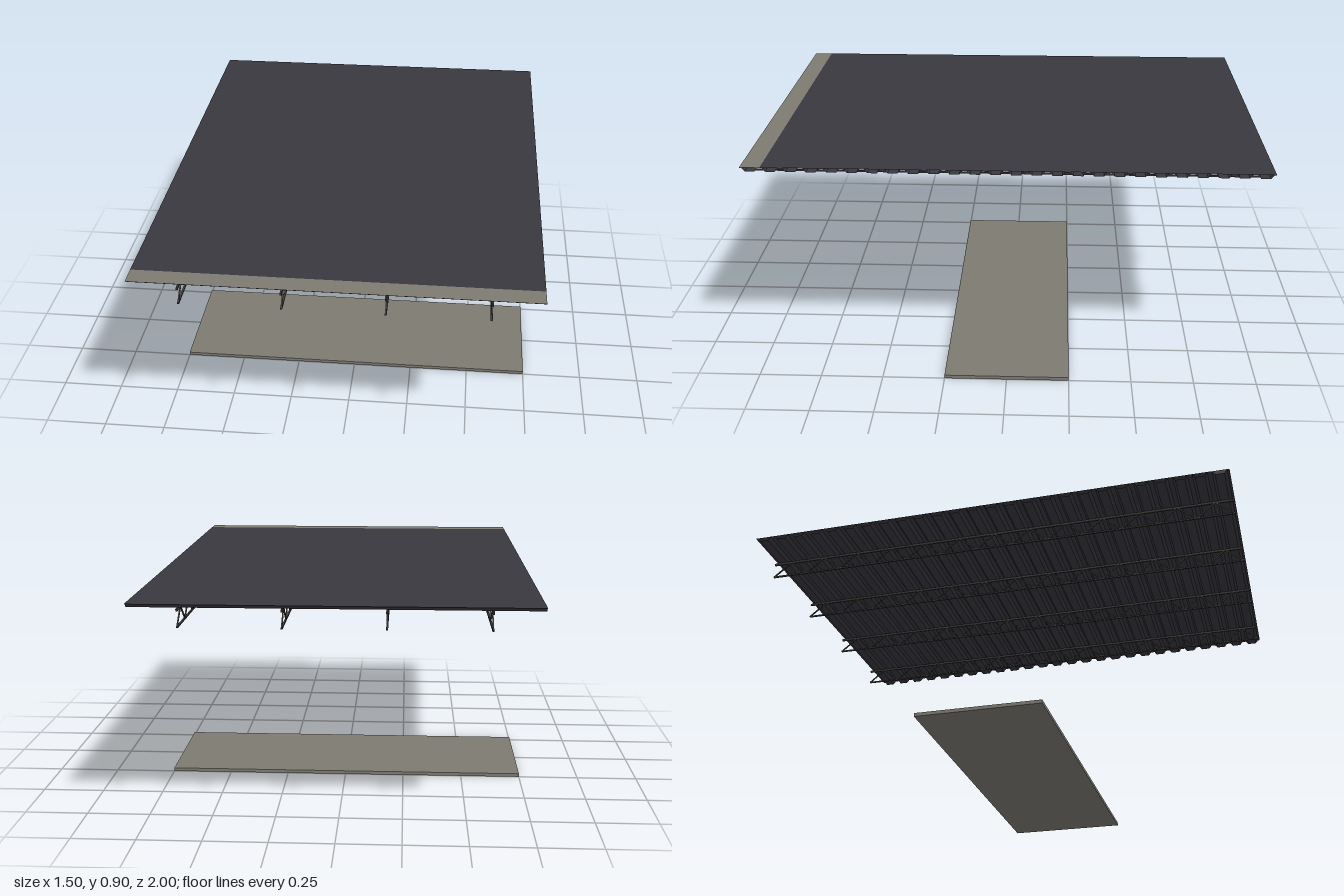
import * as THREE from 'three';

const W = 1.5, L = 2, PANELS = 13, RIBS = 26;

const mat = (name, color) => {
  const m = new THREE.MeshStandardMaterial({ color, side: THREE.DoubleSide });
  m.name = name;
  return m;
};

function add(parent, name, geometry, material, x = 0, y = 0, z = 0) {
  const mesh = new THREE.Mesh(geometry, material);
  mesh.name = name;
  mesh.position.set(x, y, z);
  parent.add(mesh);
  return mesh;
}

// Open sheet: a [z, y] profile swept across the width, one flat facet per segment
function sheet(profile) {
  const pos = [], h = W / 2;
  for (let i = 0; i < profile.length - 1; i++) {
    const [z0, y0] = profile[i], [z1, y1] = profile[i + 1];
    pos.push(-h, y0, z0, -h, y1, z1, h, y1, z1);
    pos.push(-h, y0, z0, h, y1, z1, h, y0, z0);
  }
  const g = new THREE.BufferGeometry();
  g.setAttribute('position', new THREE.Float32BufferAttribute(pos, 3));
  g.computeVertexNormals();
  return g;
}

export function createModel() {
  const root = new THREE.Group();
  root.name = 'roofSection';
  const concrete = mat('concrete grey', 0x7d7a72);
  const metal = mat('dark deck metal', 0x3a3840);
  const steel = mat('truss steel', 0x3e3b39);

  // Base slab
  add(root, 'baseSlab', new THREE.BoxGeometry(W, 0.014, 0.5), concrete, 0, 0.007, 0);

  // Ribbed deck with trapezoid ribs hanging down
  const pitch = L / RIBS, low = 0.889, high = 0.9035;
  const profile = [[-L / 2, high]];
  for (let i = 0; i < RIBS; i++) {
    const z = -L / 2 + i * pitch;
    profile.push([z + pitch * 0.12, high], [z + pitch * 0.26, low],
      [z + pitch * 0.74, low], [z + pitch * 0.88, high]);
  }
  profile.push([L / 2, high]);
  add(root, 'ribbedDeck', sheet(profile), metal);

  // Flat roof covering and the bare strip along the front edge
  const split = L / 2 - pitch;
  add(root, 'roofCovering', sheet([[-L / 2, 0.905], [split, 0.905]]), metal);
  add(root, 'frontStrip', sheet([[split, 0.9045], [L / 2, 0.9045]]), concrete);

  // Four flat trusses: two chords and zigzag web bars
  const top = 0.883, bottom = 0.821, half = L / PANELS / 2;
  const barLength = Math.hypot(half, top - bottom);
  const tilt = Math.atan2(top - bottom, half);
  for (const x of [-0.5625, -0.1875, 0.1875, 0.5625]) {
    const truss = new THREE.Group();
    truss.name = 'truss';
    truss.position.x = x;
    add(truss, 'topChord', new THREE.BoxGeometry(0.007, 0.009, L), steel, 0, top, 0);
    add(truss, 'bottomChord', new THREE.BoxGeometry(0.007, 0.006, L), steel, 0, bottom, 0);
    for (let i = 0; i < PANELS * 2; i++) {
      const bar = add(truss, 'webBar', new THREE.BoxGeometry(0.005, 0.005, barLength), steel,
        0, (top + bottom) / 2, L / 2 - (i + 0.5) * half);
      bar.rotation.x = i % 2 ? -tilt : tilt;
    }
    root.add(truss);
  }
  return root;
}
